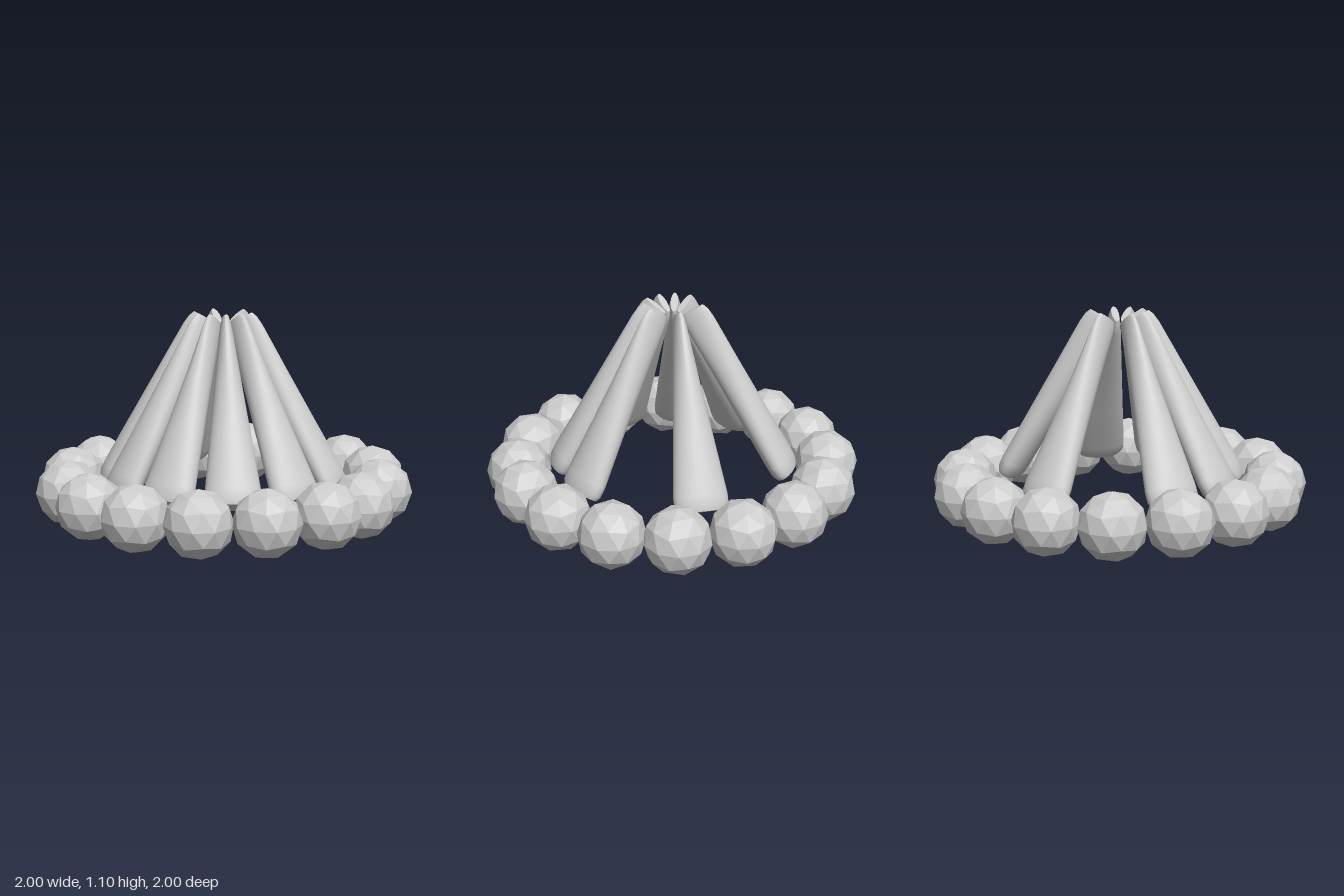
import * as THREE from 'three';
import { toCreasedNormals } from 'three/addons/utils/BufferGeometryUtils.js';

const smooth = new THREE.MeshStandardMaterial({ color: 0xcccccc });
const faceted = new THREE.MeshStandardMaterial({ color: 0xcccccc, flatShading: true });
const { degToRad, lerp } = THREE.MathUtils;

// Log with rounded ends: broad and flat at the foot, pinched sideways at the top
function logGeometry(length) {
  const profile = [[0, 0], [0.82, 0], [0.95, 0.025], [1, 0.08], [1, 0.35], [1, 0.65], [1, 0.92], [0.93, 0.97], [0.78, 1], [0, 1]]
    .map(([r, t]) => new THREE.Vector2(r, t));
  const geometry = new THREE.LatheGeometry(profile, 32);
  const p = geometry.attributes.position;
  for (let i = 0; i < p.count; i++) {
    const t = p.getY(i);
    p.setXYZ(i, p.getX(i) * lerp(0.15, 0.025, t), t * length, p.getZ(i) * lerp(0.072, 0.082, t));
  }
  return toCreasedNormals(geometry, degToRad(40));
}

// Places a mesh on a spoke around the centre, at an angle measured from the front
function onSpoke(mesh, name, angle) {
  const spoke = new THREE.Group();
  spoke.name = name;
  spoke.rotation.y = degToRad(angle);
  spoke.add(mesh);
  return spoke;
}

export function createModel() {
  const model = new THREE.Group();
  model.name = 'campfire';

  // Ring of stones, each with a corner pointing straight up
  const stoneGeometry = new THREE.IcosahedronGeometry(0.172, 1);
  stoneGeometry.rotateZ(Math.atan2(2, 1 + Math.sqrt(5)));
  for (let i = 0; i < 16; i++) {
    const stone = new THREE.Mesh(stoneGeometry, faceted);
    stone.position.set(0, 0.174, 0.828);
    model.add(onSpoke(stone, 'stone', -22.75 * i));
  }

  // Logs leaning together, with some places in the circle left empty
  const foot = new THREE.Vector2(0.61, 0.2), top = new THREE.Vector2(0.1, 1.065);
  const geometry = logGeometry(foot.distanceTo(top));
  for (const place of [0, 1, 2, 3, 4, 6, 8, 10]) {
    const log = new THREE.Mesh(geometry, smooth);
    log.position.set(0, foot.y, foot.x);
    log.rotation.x = -Math.atan2(foot.x - top.x, top.y - foot.y);
    model.add(onSpoke(log, 'log', -32.6 * place));
  }
  return model;
}
